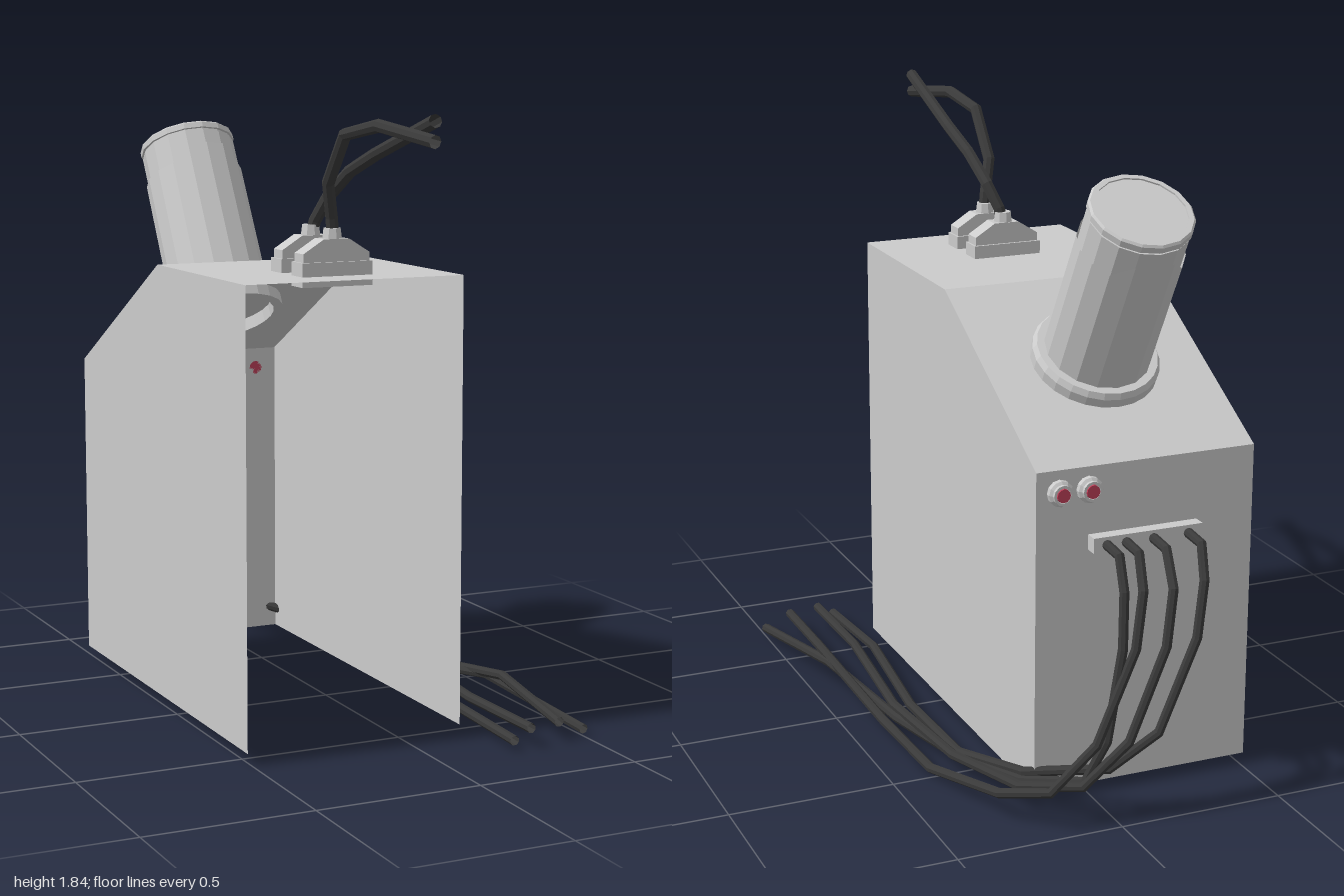
import * as THREE from 'three';

const grey = new THREE.MeshStandardMaterial({ color: 0xcccccc, flatShading: true, side: THREE.DoubleSide });
const dark = new THREE.MeshStandardMaterial({ color: 0x3a3a3a, flatShading: true, side: THREE.DoubleSide });
const red = new THREE.MeshStandardMaterial({ color: 0xc0405a, flatShading: true });

function add(parent, name, geometry, material = grey, x = 0, y = 0, z = 0) {
  const mesh = new THREE.Mesh(geometry, material);
  mesh.name = name;
  mesh.position.set(x, y, z);
  parent.add(mesh);
  return mesh;
}

const lathe = (profile, sides) =>
  new THREE.LatheGeometry(profile.map(([r, y]) => new THREE.Vector2(r, y)), sides);

// Angular cable: one ring of the tube at every path point
function cable(points, radius) {
  const curve = new THREE.CatmullRomCurve3(points.map(p => new THREE.Vector3(...p)));
  curve.getPointAt = curve.getPoint;
  curve.getTangentAt = curve.getTangent;
  return new THREE.TubeGeometry(curve, points.length - 1, radius, 8);
}

// Thin sheet housing, open at the front and underneath
function housing() {
  const group = new THREE.Group();
  group.name = 'housing';
  const [left, right] = [0.17, -0.51];
  const profile = [[0.565, 0.035], [0.565, 1.365], [-0.1, 1.365], [-0.77, 1.0], [-0.77, 0.035]];
  const side = new THREE.ShapeGeometry(new THREE.Shape(profile.map(p => new THREE.Vector2(...p))));
  side.rotateY(-Math.PI / 2);
  add(group, 'leftPanel', side, grey, left);
  add(group, 'rightPanel', side, grey, right);
  ['topPanel', 'slopedPanel', 'backPanel'].forEach((name, i) => {
    const [z0, y0] = profile[i + 1], [z1, y1] = profile[i + 2];
    const g = new THREE.BufferGeometry();
    g.setAttribute('position', new THREE.Float32BufferAttribute(
      [right, y0, z0, left, y0, z0, left, y1, z1, right, y1, z1], 3));
    g.setIndex([0, 1, 2, 0, 2, 3]);
    g.computeVertexNormals();
    add(group, name, g);
  });
  return group;
}

// Tilted cylinder standing on the sloped panel
function canister() {
  const group = new THREE.Group();
  group.name = 'canister';
  group.position.set(-0.167, 1.189, -0.42);
  group.rotation.x = -Math.PI / 6;

  add(group, 'flange', lathe([[0.16, 0], [0.16, -0.04], [0.19, -0.04], [0.19, 0.035],
    [0.18, 0.052], [0.15, 0.052]], 24));
  add(group, 'innerTube', lathe([[0.15, 0.02], [0.15, 0.558], [0.145, 0.558], [0.145, 0.566],
    [0.153, 0.566], [0.153, 0.584], [0.147, 0.59], [0.132, 0.59], [0.132, 0.585], [0, 0.585]], 16));

  // Sleeve whose upper edge steps up at front and back
  const sleeve = new THREE.CylinderGeometry(0.156, 0.158, 0.5, 16, 1, true);
  const p = sleeve.attributes.position;
  for (let i = 0; i < p.count; i++) {
    const fromMiddle = Math.atan2(Math.abs(p.getX(i)), Math.abs(p.getZ(i)));
    p.setY(i, p.getY(i) < 0 ? 0.02 : fromMiddle < 0.5 ? 0.51 : 0.46);
  }
  add(group, 'sleeve', sleeve);
  return group;
}

// Plug with a tapered hood on the top panel
function plug(z) {
  const group = new THREE.Group();
  group.name = 'topPlug';
  group.position.set(-0.17, 1.335, z);
  add(group, 'plugBase', new THREE.BoxGeometry(0.22, 0.07, 0.076), grey, 0, 0.035);
  const hood = new THREE.Shape([[-0.104, 0.07], [0.104, 0.07], [0.104, 0.095], [0.04, 0.135],
    [-0.04, 0.135], [-0.104, 0.095]].map(q => new THREE.Vector2(...q)));
  add(group, 'plugHood', new THREE.ExtrudeGeometry(hood, { depth: 0.06, bevelEnabled: false }),
    grey, 0, 0, -0.03);
  add(group, 'plugGland', new THREE.CylinderGeometry(0.026, 0.03, 0.03, 8), grey, 0, 0.15);
  return group;
}

// Button facing backwards on the back panel
function button(x) {
  const group = new THREE.Group();
  group.name = 'button';
  group.position.set(x, 0.935, -0.77);
  group.rotation.x = -Math.PI / 2;
  add(group, 'buttonBezel', lathe([[0.038, 0], [0.038, 0.016], [0.03, 0.022], [0.03, 0.032],
    [0.022, 0.032], [0.022, 0.01]], 12));
  add(group, 'buttonCap', new THREE.CylinderGeometry(0.02, 0.022, 0.034, 12), red, 0, 0.017);
  return group;
}

export function createModel() {
  const model = new THREE.Group();
  model.add(housing(), canister(), plug(0.403), plug(0.257), button(0.01), button(0.1));

  // Cables from the top plugs
  add(model, 'topCable', cable([[-0.167, 1.47, 0.403], [-0.175, 1.53, 0.41], [-0.2, 1.63, 0.44],
    [-0.205, 1.77, 0.56], [-0.19, 1.8, 0.74], [-0.155, 1.765, 1]], 0.019), dark);
  add(model, 'topCable', cable([[-0.167, 1.47, 0.257], [-0.16, 1.51, 0.265], [-0.135, 1.58, 0.3],
    [-0.122, 1.66, 0.42], [-0.12, 1.715, 0.58], [-0.155, 1.82, 1]], 0.019), dark);

  // Socket strip and its cables, which hang down the back and trail forward
  add(model, 'socketStrip', new THREE.BoxGeometry(0.34, 0.045, 0.042), grey, -0.16, 0.777, -0.789);
  const starts = [-0.285, -0.175, -0.09, -0.03];
  const trails = [
    [[0.0, 0.14, -0.91], [0.19, 0.09, -0.74], [0.28, 0.05, -0.47], [0.29, 0.05, -0.1], [0.235, 0.05, 0.38], [0.245, 0.03, 0.76]],
    [[0.1, 0.12, -0.95], [0.23, 0.08, -0.8], [0.31, 0.06, -0.5], [0.345, 0.06, -0.1], [0.295, 0.06, 0.4], [0.3, 0.06, 0.76]],
    [[0.2, 0.12, -0.95], [0.3, 0.08, -0.82], [0.37, 0.015, -0.47], [0.4, 0.04, -0.15], [0.435, 0.1, 0.35], [0.405, 0.06, 0.74]],
    [[0.08, 0.12, -0.92], [0.2, 0.07, -0.75], [0.285, 0.04, -0.47], [0.355, 0.04, -0.15], [0.435, 0.08, 0.25], [0.495, 0.025, 0.73]],
  ];
  starts.forEach((x, i) => {
    const end = trails[i][0][0];
    const out = [-0.96, -0.985, -0.97, -0.955][i];
    const drift = t => x + (end - x) * t;
    add(model, 'backCable', cable([[x, 0.777, -0.8], [x, 0.77, -0.89], [drift(0.05), 0.68, out + 0.02],
      [drift(0.15), 0.52, out], [drift(0.55), 0.25, out], ...trails[i]], 0.015), dark);
  });
  return model;
}
